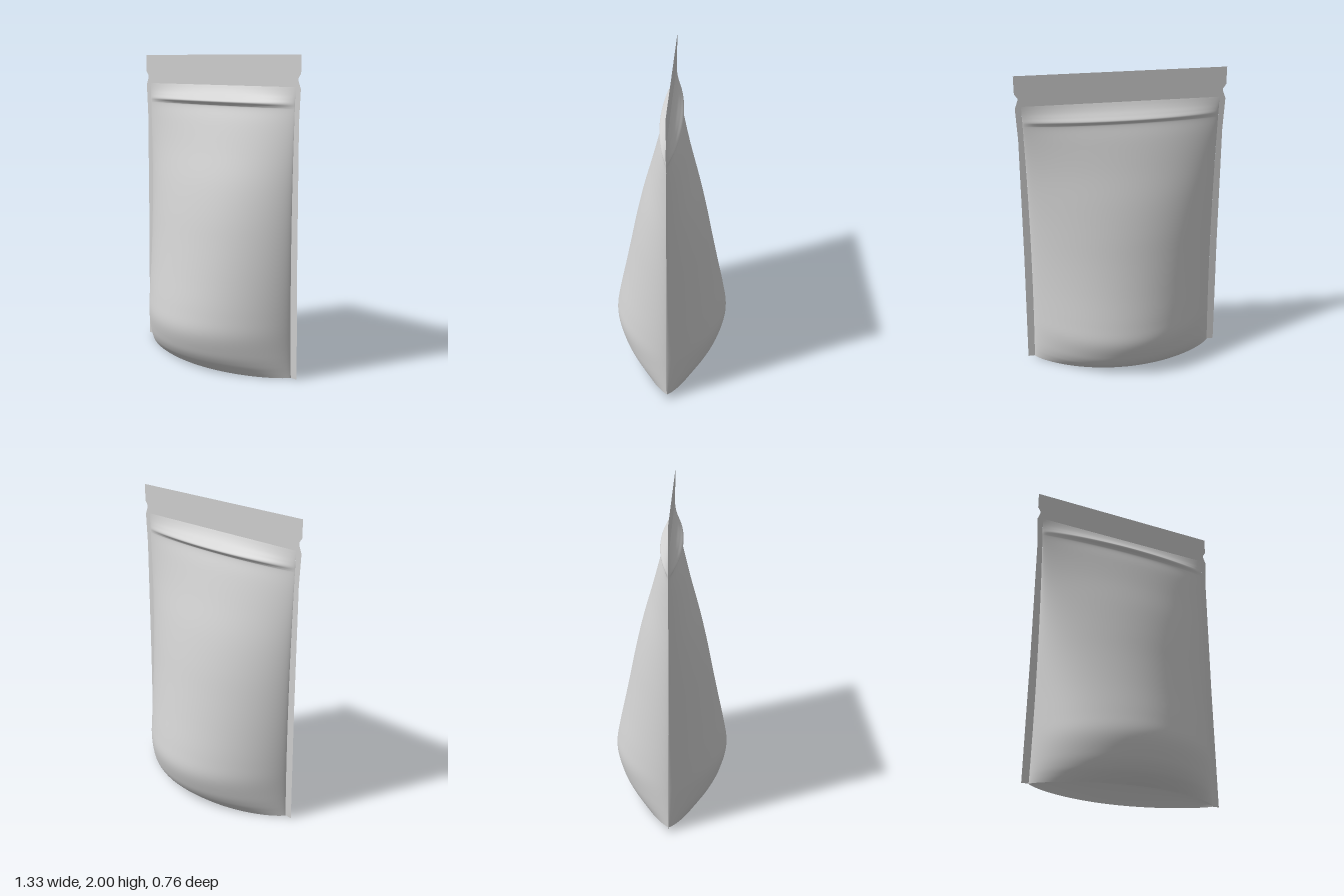
import * as THREE from 'three';

const film = new THREE.MeshStandardMaterial({ color: 0xd2d2d2, side: THREE.DoubleSide });
film.name = 'pale grey film';

// Half depth of the filled pouch (first number) at each height (second)
const sideProfile = new THREE.SplineCurve([
  [0.235, 0], [0.275, 0.035], [0.315, 0.08], [0.35, 0.15], [0.378, 0.27], [0.36, 0.4],
  [0.317, 0.6], [0.275, 0.8], [0.234, 1.0], [0.186, 1.2], [0.128, 1.4], [0.078, 1.58],
  [0.05, 1.67], [0.053, 1.69], [0.071, 1.71], [0.05, 1.735], [0.028, 1.76], [0.012, 1.785], [0, 1.81],
].map(([d, y]) => new THREE.Vector2(d, y)));

// Half width between the side seals, narrowest at mid height
const halfWidth = y => 0.605 + 0.015 * ((y - 0.95) / 0.95) ** 2;
// Lens-shaped bulge across the width, t from -1 to 1
const bulge = t => Math.pow(Math.max(0, 1 - t * t), 0.8);

// Smooth grid surface from a rule (u, v) -> [x, y, z]
function surface(name, nu, nv, rule) {
  const positions = [], index = [];
  for (let j = 0; j <= nv; j++)
    for (let i = 0; i <= nu; i++) positions.push(...rule(i / nu, j / nv));
  for (let j = 0; j < nv; j++)
    for (let i = 0; i < nu; i++) {
      const a = j * (nu + 1) + i, b = a + 1, c = a + nu + 1, d = c + 1;
      index.push(a, b, d, a, d, c);
    }
  const geometry = new THREE.BufferGeometry();
  geometry.setAttribute('position', new THREE.Float32BufferAttribute(positions, 3));
  geometry.setIndex(index);
  geometry.computeVertexNormals();
  const mesh = new THREE.Mesh(geometry, film);
  mesh.name = name;
  return mesh;
}

export function createModel() {
  const pouch = new THREE.Group();
  pouch.name = 'standUpPouch';

  // Bulging front and back walls with the zip ridge; columns crowd towards the seals
  for (const [name, side] of [['frontPanel', 1], ['backPanel', -1]]) {
    pouch.add(surface(name, 64, 108, (u, v) => {
      const t = -Math.cos(u * Math.PI) * side;
      const p = sideProfile.getPoint(v);
      return [t * halfWidth(p.y), p.y, side * p.x * bulge(t)];
    }));
  }

  // Bottom gusset, arched up into the pouch
  pouch.add(surface('bottomGusset', 64, 24, (u, v) => {
    const t = -Math.cos(u * Math.PI), s = v * 2 - 1;
    return [t * halfWidth(0), 0.22 * bulge(t) * (1 - s * s), s * 0.235 * bulge(t)];
  }));

  // Flat side seals and top band with tear notches, open where the pouch is filled
  const outer = [[0.665, 0], [0.652, 0.8], [0.646, 1.6], [0.655, 1.8], [0.636, 1.85], [0.636, 1.862], [0.655, 1.89], [0.655, 2]];
  const inner = [];
  for (let i = 0; i <= 12; i++) {
    const y = 1.81 * (1 - i / 12);
    inner.push([halfWidth(y), y]);
  }
  const mirror = points => points.map(([x, y]) => [-x, y]).reverse();
  const outline = [...outer, ...mirror(outer), ...mirror(inner), ...inner];
  const seal = new THREE.Mesh(
    new THREE.ShapeGeometry(new THREE.Shape(outline.map(([x, y]) => new THREE.Vector2(x, y)))), film);
  seal.name = 'flatSeal';
  pouch.add(seal);

  return pouch;
}
